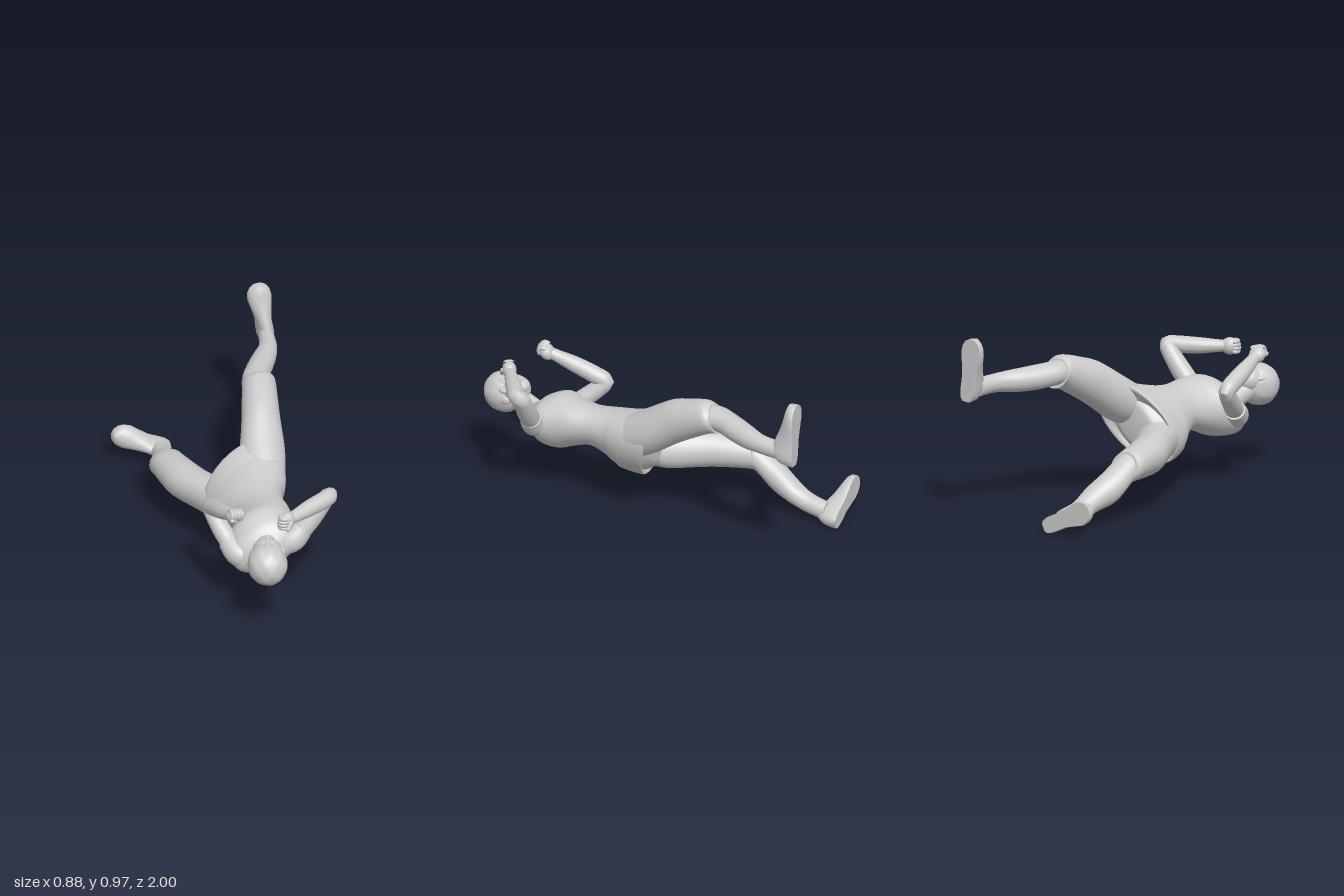
import * as THREE from 'three';
import { toCreasedNormals } from 'three/addons/utils/BufferGeometryUtils.js';

const V = (x, y, z) => new THREE.Vector3(x, y, z);
const material = new THREE.MeshStandardMaterial({ color: 0xcccccc });
const SIDES = 36;

function mesh(geometry, name, parent) {
  const m = new THREE.Mesh(geometry, material);
  m.name = name;
  parent.add(m);
  return m;
}

// Skin a list of equal rings and close both ends with a fan
function skin(rings, name, parent) {
  const n = rings[0].length, pos = [], index = [];
  rings.forEach(r => r.forEach(p => pos.push(p.x, p.y, p.z)));
  for (let i = 0; i < rings.length - 1; i++) for (let j = 0; j < n; j++) {
    const a = i * n + j, b = i * n + (j + 1) % n;
    index.push(a, b, a + n, b, b + n, a + n);
  }
  [0, rings.length - 1].forEach(k => {
    const c = rings[k].reduce((s, p) => s.add(p), V(0, 0, 0)).divideScalar(n);
    const id = pos.length / 3;
    pos.push(c.x, c.y, c.z);
    for (let j = 0; j < n; j++) {
      const a = k * n + j, b = k * n + (j + 1) % n;
      if (k) index.push(a, b, id); else index.push(b, a, id);
    }
  });
  const g = new THREE.BufferGeometry();
  g.setAttribute('position', new THREE.Float32BufferAttribute(pos, 3));
  g.setIndex(index);
  return mesh(toCreasedNormals(g, 0.85), name, parent);
}

const ring = f => Array.from({ length: SIDES }, (_, j) => {
  const t = j / SIDES * Math.PI * 2;
  return f(Math.cos(t), Math.sin(t));
});

const spline = pts => new THREE.CatmullRomCurve3(pts, false, 'catmullrom');

// Loft of ellipses stacked in z: [x, y, z, halfWidth, halfDepth, turn in degrees],
// the two tilts slant the first and last ring [sideways, front to back]
function loft(rows, name, parent, tilt0 = [0, 0], tilt1 = tilt0) {
  const centre = spline(rows.map(r => V(r[0], r[1], r[2])));
  const size = spline(rows.map(r => V(r[3], r[4], (r[5] || 0) * Math.PI / 180)));
  const steps = (rows.length - 1) * 5, rings = [];
  for (let i = 0; i <= steps; i++) {
    const c = centre.getPoint(i / steps), s = size.getPoint(i / steps);
    const cs = Math.cos(s.z), sn = Math.sin(s.z);
    const [tu, tv] = [0, 1].map(k => THREE.MathUtils.lerp(tilt0[k], tilt1[k], i / steps));
    rings.push(ring((u, v) => V(
      c.x + s.x * u * cs - s.y * v * sn,
      c.y + s.x * u * sn + s.y * v * cs,
      c.z + tu * u + tv * v)));
  }
  return skin(rings, name, parent);
}

// Round limb along a path: [x, y, z, radius]
function limb(rows, name, parent) {
  const path = spline(rows.map(r => V(r[0], r[1], r[2])));
  const radius = spline(rows.map(r => V(r[3], 0, 0)));
  const steps = (rows.length - 1) * 6;
  const frames = path.computeFrenetFrames(steps);
  const rings = [];
  for (let i = 0; i <= steps; i++) {
    const t = path.getUtoTmapping(i / steps);
    const c = path.getPoint(t), r = radius.getPoint(t).x;
    rings.push(ring((u, v) => c.clone()
      .addScaledVector(frames.normals[i], r * u)
      .addScaledVector(frames.binormals[i], r * v)));
  }
  return skin(rings, name, parent);
}

function ellipsoid(x, y, z, rx, ry, rz, name, parent) {
  const m = mesh(new THREE.SphereGeometry(1, 28, 20), name, parent);
  m.position.set(x, y, z);
  m.scale.set(rx, ry, rz);
  return m;
}

// Foot from heel to toe, sole flat on the plane z = -1: [distance, halfWidth, height]
const FOOT = [[0, 0.022, 0.06], [0.012, 0.036, 0.09], [0.04, 0.044, 0.125], [0.08, 0.045, 0.135],
  [0.14, 0.043, 0.112], [0.2, 0.054, 0.088], [0.26, 0.066, 0.07], [0.3, 0.06, 0.062],
  [0.325, 0.044, 0.054], [0.34, 0.018, 0.045]];
function foot(hx, hy, tx, ty, name, parent) {
  const d = V(tx - hx, ty - hy, 0), k = d.length() / 0.34;
  d.normalize();
  skin(FOOT.map(([s, w, h]) => ring((u, v) => V(
    hx + d.x * s * k - d.y * w * u,
    hy + d.y * s * k + d.x * w * u,
    -1 + h * Math.max(0, v + 0.25) / 1.25))), name, parent);
}

// Closed fist: y runs along the forearm, x along the row of knuckles
function fist(at, along, row, name, parent) {
  const g = new THREE.Group();
  g.name = name;
  const y = along.normalize(), z = row.cross(y).normalize();
  const x = V(0, 0, 0).crossVectors(y, z);
  g.quaternion.setFromRotationMatrix(new THREE.Matrix4().makeBasis(x, y, z));
  g.position.copy(at);
  ellipsoid(0, -0.01, 0, 0.046, 0.05, 0.038, 'palm', g);
  for (let i = 0; i < 4; i++) {
    const f = mesh(new THREE.TorusGeometry(0.022, 0.0125, 10, 16, Math.PI), 'finger', g);
    f.rotation.y = Math.PI / 2;
    f.position.set(-0.027 + i * 0.018, 0.016 - Math.abs(i - 1.3) * 0.004, 0);
  }
  const thumb = mesh(new THREE.CapsuleGeometry(0.012, 0.035, 5, 12), 'thumb', g);
  thumb.position.set(-0.016, 0.006, 0.036);
  thumb.rotation.z = 0.9;
  parent.add(g);
}

export function createModel() {
  const model = new THREE.Group();
  model.name = 'figure';

  // Torso, from rounded crotch to collar
  loft([[0.02, 0.39, -0.05, 0.07, 0.06, 40], [0.028, 0.388, -0.035, 0.17, 0.11, 40],
    [0.03, 0.385, 0.04, 0.238, 0.155, 38], [0.025, 0.38, 0.15, 0.214, 0.152, 36],
    [0.025, 0.397, 0.22, 0.175, 0.13, 34],
    [0.03, 0.415, 0.32, 0.145, 0.11, 30], [0.02, 0.408, 0.42, 0.165, 0.128, 28],
    [0, 0.395, 0.51, 0.185, 0.155, 26], [-0.005, 0.377, 0.6, 0.195, 0.136, 26],
    [-0.01, 0.367, 0.65, 0.163, 0.1, 26], [-0.022, 0.367, 0.69, 0.098, 0.075, 26],
    [-0.032, 0.37, 0.71, 0.06, 0.06, 26]], 'torso', model);

  // Loose band around the hips, its lower edge folded inwards
  loft([[0.033, 0.388, 0.005, 0.205, 0.13, 40], [0.034, 0.39, -0.022, 0.262, 0.174, 40],
    [0.032, 0.385, 0.05, 0.25, 0.17, 39], [0.028, 0.381, 0.118, 0.222, 0.16, 37]],
  'hipBand', model, [-0.068, -0.015], [-0.035, -0.025]);

  // Legs: wide trouser leg to the knee, calf and foot
  loft([[0.22, 0.712, -0.465, 0.083, 0.077], [0.22, 0.715, -0.42, 0.091, 0.087],
    [0.195, 0.665, -0.3, 0.1, 0.105], [0.175, 0.615, -0.2, 0.107, 0.118],
    [0.145, 0.515, -0.05, 0.124, 0.122], [0.13, 0.46, 0.06, 0.11, 0.11]], 'leftThigh', model, [0, 0.025]);
  loft([[0.385, 0.695, -0.92, 0.04, 0.05], [0.365, 0.7, -0.8, 0.049, 0.05],
    [0.32, 0.7, -0.7, 0.068, 0.06], [0.27, 0.705, -0.6, 0.075, 0.065],
    [0.225, 0.715, -0.5, 0.075, 0.064], [0.215, 0.715, -0.42, 0.072, 0.066]], 'leftCalf', model);
  foot(0.4, 0.63, 0.357, 0.97, 'leftFoot', model);

  loft([[-0.265, 0.275, -0.495, 0.088, 0.084], [-0.265, 0.285, -0.44, 0.097, 0.089],
    [-0.235, 0.293, -0.3, 0.11, 0.102], [-0.2, 0.295, -0.2, 0.12, 0.107],
    [-0.115, 0.302, -0.05, 0.125, 0.113], [-0.08, 0.31, 0.06, 0.11, 0.11]], 'rightThigh', model, [0, 0.025]);
  loft([[-0.19, 0.066, -0.92, 0.048, 0.05], [-0.205, 0.092, -0.8, 0.055, 0.055],
    [-0.22, 0.14, -0.7, 0.07, 0.07], [-0.25, 0.19, -0.6, 0.08, 0.085],
    [-0.265, 0.26, -0.5, 0.079, 0.076], [-0.265, 0.285, -0.44, 0.078, 0.075]], 'rightCalf', model);
  foot(-0.125, 0.028, -0.43, 0.165, 'rightFoot', model);

  // Arms: short sleeve, bent arm and fist
  limb([[0.1, 0.395, 0.615, 0.07], [0.145, 0.42, 0.622, 0.07], [0.195, 0.472, 0.618, 0.058]], 'leftSleeve', model);
  limb([[0.16, 0.43, 0.625, 0.055], [0.25, 0.535, 0.617, 0.053], [0.325, 0.635, 0.613, 0.045],
    [0.338, 0.655, 0.633, 0.043], [0.29, 0.652, 0.665, 0.046], [0.2, 0.65, 0.717, 0.043],
    [0.12, 0.651, 0.768, 0.034], [0.075, 0.652, 0.795, 0.03]], 'leftArm', model);
  fist(V(0.053, 0.652, 0.808), V(-0.3, 0, 0.17), V(0, 1, 0), 'leftFist', model);

  limb([[-0.1, 0.34, 0.6, 0.072], [-0.15, 0.35, 0.585, 0.07], [-0.19, 0.395, 0.525, 0.056]], 'rightSleeve', model);
  limb([[-0.17, 0.37, 0.56, 0.052], [-0.21, 0.435, 0.48, 0.05], [-0.243, 0.505, 0.4, 0.044],
    [-0.25, 0.53, 0.39, 0.043], [-0.242, 0.555, 0.44, 0.046], [-0.228, 0.6, 0.55, 0.043],
    [-0.21, 0.64, 0.65, 0.033], [-0.203, 0.655, 0.68, 0.03]], 'rightArm', model);
  fist(V(-0.197, 0.668, 0.712), V(0.02, 0.08, 0.07), V(1, 0, 0), 'rightFist', model);

  // Neck and head, face towards +y
  limb([[-0.03, 0.372, 0.66, 0.062], [-0.04, 0.405, 0.73, 0.056], [-0.05, 0.44, 0.82, 0.062]], 'neck', model);
  const head = new THREE.Group();
  head.name = 'head';
  model.add(head);
  ellipsoid(-0.05, 0.485, 0.825, 0.08, 0.073, 0.09, 'face', head);
  ellipsoid(-0.042, 0.513, 0.775, 0.048, 0.038, 0.04, 'chin', head);
  ellipsoid(-0.043, 0.554, 0.798, 0.01, 0.012, 0.018, 'nose', head);
  ellipsoid(-0.042, 0.547, 0.767, 0.02, 0.005, 0.006, 'mouth', head);
  for (const s of [-1, 1]) {
    ellipsoid(-0.046 + s * 0.032, 0.545, 0.818, 0.015, 0.005, 0.008, 'eye', head);
    ellipsoid(-0.055 + s * 0.083, 0.445, 0.842, 0.012, 0.022, 0.03, 'ear', head);
  }

  // Hair: softly waved cap with a row of fringe locks
  const cap = new THREE.SphereGeometry(1, 48, 36), p = cap.attributes.position, q = V(0, 0, 0);
  for (let i = 0; i < p.count; i++) {
    q.fromBufferAttribute(p, i);
    q.multiplyScalar(1 + 0.015 * Math.sin(9 * q.x + 2 * q.z) * Math.cos(7 * q.y));
    p.setXYZ(i, q.x, q.y, q.z);
  }
  cap.computeVertexNormals();
  const hair = mesh(cap, 'hair', head);
  hair.position.set(-0.065, 0.449, 0.888);
  hair.scale.set(0.105, 0.112, 0.112);
  for (let i = -2; i <= 2; i++) {
    const lock = ellipsoid(-0.056 + i * 0.034, 0.542 - i * i * 0.011, 0.87 - i * i * 0.007,
      0.026, 0.02, 0.042, 'fringe', head);
    lock.rotation.y = i * 0.12;
  }
  return model;
}
